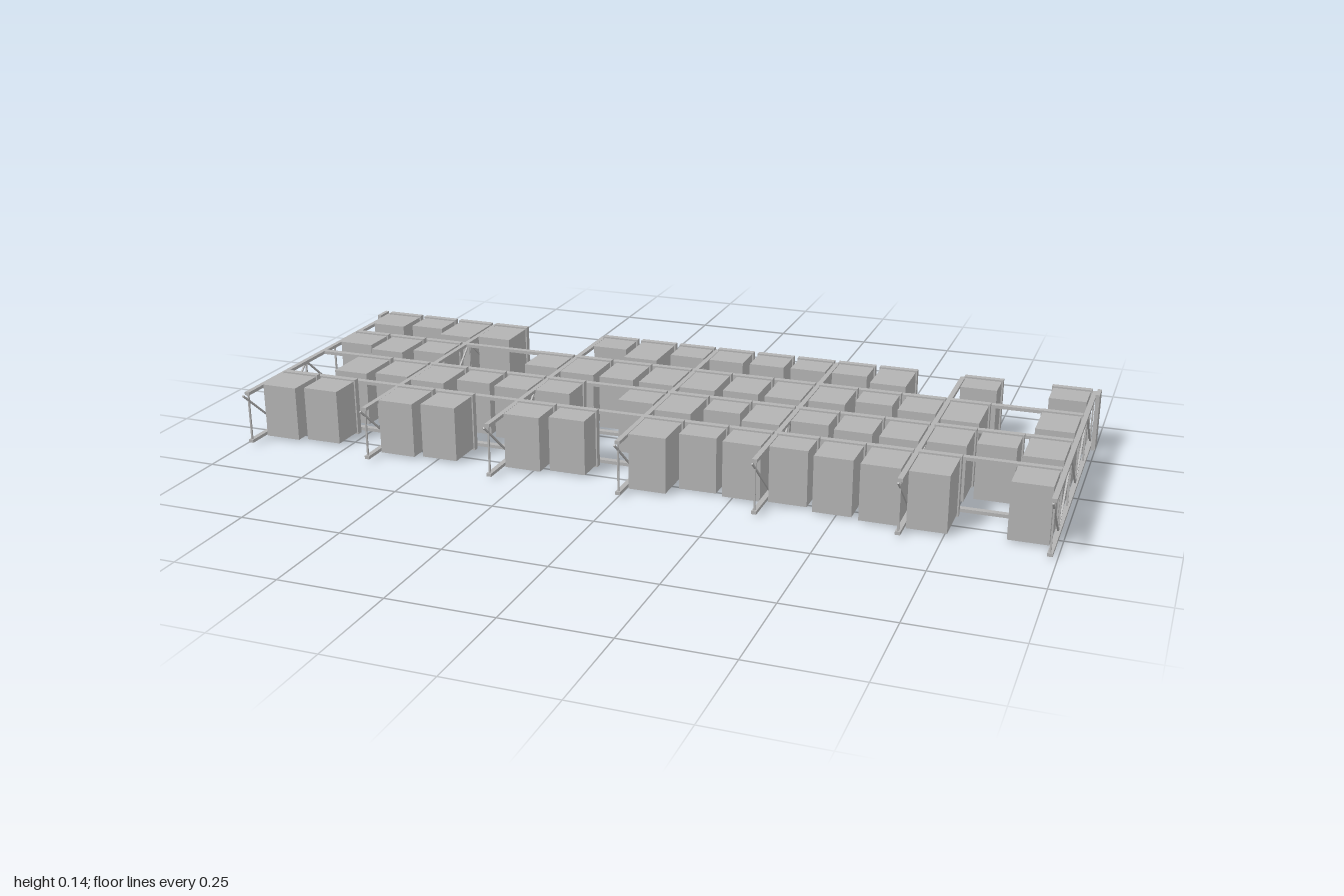
import * as THREE from 'three';

const grey = new THREE.MeshStandardMaterial({ color: 0xb3b3b3 });
grey.name = 'plain grey';

// Box given by its min and max corners
function block(parent, name, x0, x1, y0, y1, z0, z1) {
  const mesh = new THREE.Mesh(new THREE.BoxGeometry(x1 - x0, y1 - y0, z1 - z0), grey);
  mesh.position.set((x0 + x1) / 2, (y0 + y1) / 2, (z0 + z1) / 2);
  mesh.name = name;
  parent.add(mesh);
}

// Slim bar in the plane of an upright frame, from (y0, z0) to (y1, z1)
function brace(parent, name, x, y0, z0, y1, z1) {
  const length = Math.hypot(y1 - y0, z1 - z0);
  const mesh = new THREE.Mesh(new THREE.BoxGeometry(0.004, 0.004, length), grey);
  mesh.position.set(x, (y0 + y1) / 2, (z0 + z1) / 2);
  mesh.rotation.x = -Math.atan2(y1 - y0, z1 - z0);
  mesh.name = name;
  parent.add(mesh);
}

const FLOOR = -0.372;
const LEVELS = [FLOOR, -0.183, 0, 0.182];
const RAILS = [[0.006, 0.014], [0.131, 0.139]];
const BAY = 0.328;
const LEFT = -3 * BAY;

// Load end height (z) in each of the 18 slots of a level, 0 for an empty slot
const LOADS = [
  [-0.262, -0.28, -0.235, -0.25, 0, 0, -0.28, -0.22, -0.279, -0.275, -0.277, -0.28, -0.237, -0.24, 0, -0.284, 0, -0.275],
  [-0.083, -0.054, -0.083, 0, 0, -0.075, -0.054, -0.05, -0.046, -0.043, -0.056, -0.05, -0.056, -0.088, -0.065, -0.037, 0, -0.049],
  [0, 0.134, 0.12, 0.134, 0.096, 0.107, 0.1, 0, 0.096, 0.134, 0.091, 0.134, 0.096, 0.117, 0.126, 0.12, 0.094, 0.134],
  [0.295, 0.283, 0, 0.3, 0.29, 0, 0.283, 0.267, 0, 0.308, 0.267, 0.278, 0.272, 0.293, 0.304, 0.31, 0, 0.295],
];
// The front-row slot 13 and others follow the visible loads
LOADS[0][13] = -0.237;
LOADS[0][12] = -0.28;

export function createModel() {
  const model = new THREE.Group();
  model.name = 'palletRack';

  // Upright frames: two posts, cross bars and zigzag bracing
  for (let i = 0; i <= 6; i++) {
    const frame = new THREE.Group();
    frame.name = 'uprightFrame';
    const x = LEFT + i * BAY;
    for (const [y0, y1] of RAILS) block(frame, 'post', x - 0.006, x + 0.006, y0, y1, FLOOR, 0.355);
    for (const z of [0.349, 0.227, 0.082, -0.063, -0.209, -0.355])
      brace(frame, 'crossBar', x, 0.012, z, 0.133, z);
    for (let k = 0; k < 5; k++) {
      const z = 0.372 - 0.1455 * k;
      const low = 0.012, high = 0.135;
      brace(frame, 'diagonalBrace', x, k % 2 ? low : high, z, k % 2 ? high : low, z - 0.1455);
    }
    model.add(frame);
  }

  // Load beams under the raised levels
  for (const z of LEVELS.slice(1))
    for (const [y0, y1] of RAILS) block(model, 'loadBeam', LEFT, -LEFT, y0, y1, z - 0.015, z);

  // Pallets with their loads
  LEVELS.forEach((z, level) => {
    LOADS[level].forEach((end, slot) => {
      if (!end) return;
      const x = LEFT + (slot + 0.5) * BAY / 3;
      const unit = new THREE.Group();
      unit.name = 'palletUnit';
      block(unit, 'pallet', x - 0.049, x + 0.049, 0, 0.145, z, z + 0.016);
      block(unit, 'load', x - 0.0455, x + 0.0455, 0.005, 0.141, z + 0.016, end);
      model.add(unit);
    });
  });

  // Guard plates at the foot of both end frames
  for (const s of [-1, 1]) {
    const a = s * 0.99, b = s;
    block(model, 'endGuard', Math.min(a, b), Math.max(a, b), 0, 0.145, FLOOR, -0.325);
  }
  return model;
}
